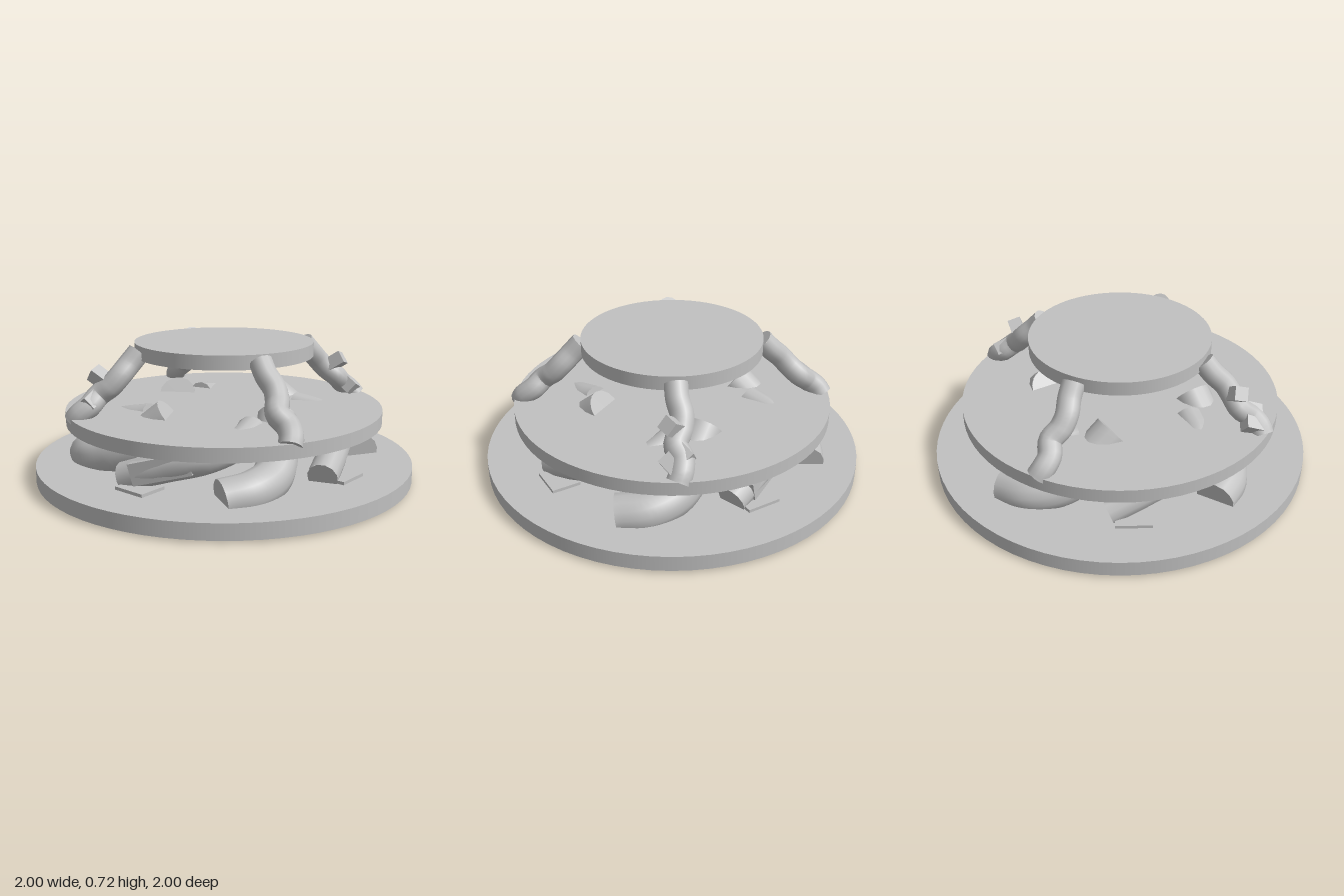
import * as THREE from 'three';

const stone = new THREE.MeshStandardMaterial({ color: 0xc0c0c0 });
stone.name = 'grey stone';

const V = (p) => new THREE.Vector3(...p);

function add(parent, name, geometry, pos = [0, 0, 0], rot = [0, 0, 0]) {
  const mesh = new THREE.Mesh(geometry, stone);
  mesh.name = name;
  mesh.position.set(...pos);
  mesh.rotation.set(...rot);
  parent.add(mesh);
  return mesh;
}

// Round strand through the given points, closed with flat ends
function strand(parent, name, points, radius, sides = 12) {
  const group = new THREE.Group();
  group.name = name;
  const curve = new THREE.CatmullRomCurve3(points.map(V));
  add(group, name + 'Body', new THREE.TubeGeometry(curve, 28, radius, sides));
  for (const t of [0, 1]) {
    const cap = add(group, name + 'End', new THREE.CircleGeometry(radius, sides));
    cap.position.copy(curve.getPointAt(t));
    const out = curve.getTangentAt(t).multiplyScalar(t ? 1 : -1);
    cap.quaternion.setFromUnitVectors(new THREE.Vector3(0, 0, 1), out);
  }
  parent.add(group);
}

export function createModel() {
  const model = new THREE.Group();
  model.name = 'tieredStand';

  // Three round tiers: radius, bottom, top
  const tiers = [['bottomTier', 1, 0.022, 0.102], ['middleTier', 0.835, 0.315, 0.385], ['topTier', 0.47, 0.655, 0.727]];
  for (const [name, r, y0, y1] of tiers) {
    add(model, name, new THREE.CylinderGeometry(r, r, y1 - y0, 72), [0, (y0 + y1) / 2, 0]);
  }

  // Four quarter turns of twisted supports
  for (let i = 0; i < 4; i++) {
    const quarter = new THREE.Group();
    quarter.name = 'supportQuarter';
    quarter.rotation.y = (i * Math.PI) / 2;
    model.add(quarter);

    // Thin winding leg from the middle tier to the top tier
    strand(quarter, 'upperLeg', [
      [-0.18, 0.69, 0.43], [-0.195, 0.635, 0.48], [-0.2, 0.58, 0.54], [-0.225, 0.53, 0.58],
      [-0.27, 0.485, 0.62], [-0.265, 0.44, 0.68], [-0.29, 0.4, 0.725], [-0.315, 0.365, 0.74],
    ], 0.058);

    // Thick root lying on the bottom tier, curling up through the middle one
    strand(quarter, 'thickRoot', [
      [-0.53, 0.11, 0.52], [-0.4, 0.13, 0.58], [-0.25, 0.16, 0.57], [-0.15, 0.22, 0.52],
      [-0.08, 0.3, 0.44], [0.0, 0.38, 0.38],
    ], 0.1, 14);

    // Slimmer root rising from its foot plate
    strand(quarter, 'slimRoot', [
      [0.0, 0.13, 0.68], [0.18, 0.2, 0.6], [0.37, 0.265, 0.48], [0.42, 0.31, 0.32], [0.37, 0.34, 0.17],
    ], 0.077);
    add(quarter, 'footPlate', new THREE.BoxGeometry(0.18, 0.02, 0.15), [0.13, 0.108, 0.69], [0, 0.1, 0]);

    // Angular breaks on the front and back supports
    if (i % 2 === 0) {
      add(quarter, 'rootSlab', new THREE.BoxGeometry(0.31, 0.11, 0.13), [0.2, 0.213, 0.595], [0, 0.5, 0.27]);
      add(quarter, 'upperShard', new THREE.BoxGeometry(0.12, 0.07, 0.07), [-0.27, 0.565, 0.595], [0.3, 0.3, -0.7]);
      add(quarter, 'lowerShard', new THREE.BoxGeometry(0.14, 0.07, 0.09), [-0.29, 0.445, 0.68], [0.4, 0.3, 0.5]);
    }
  }
  return model;
}
